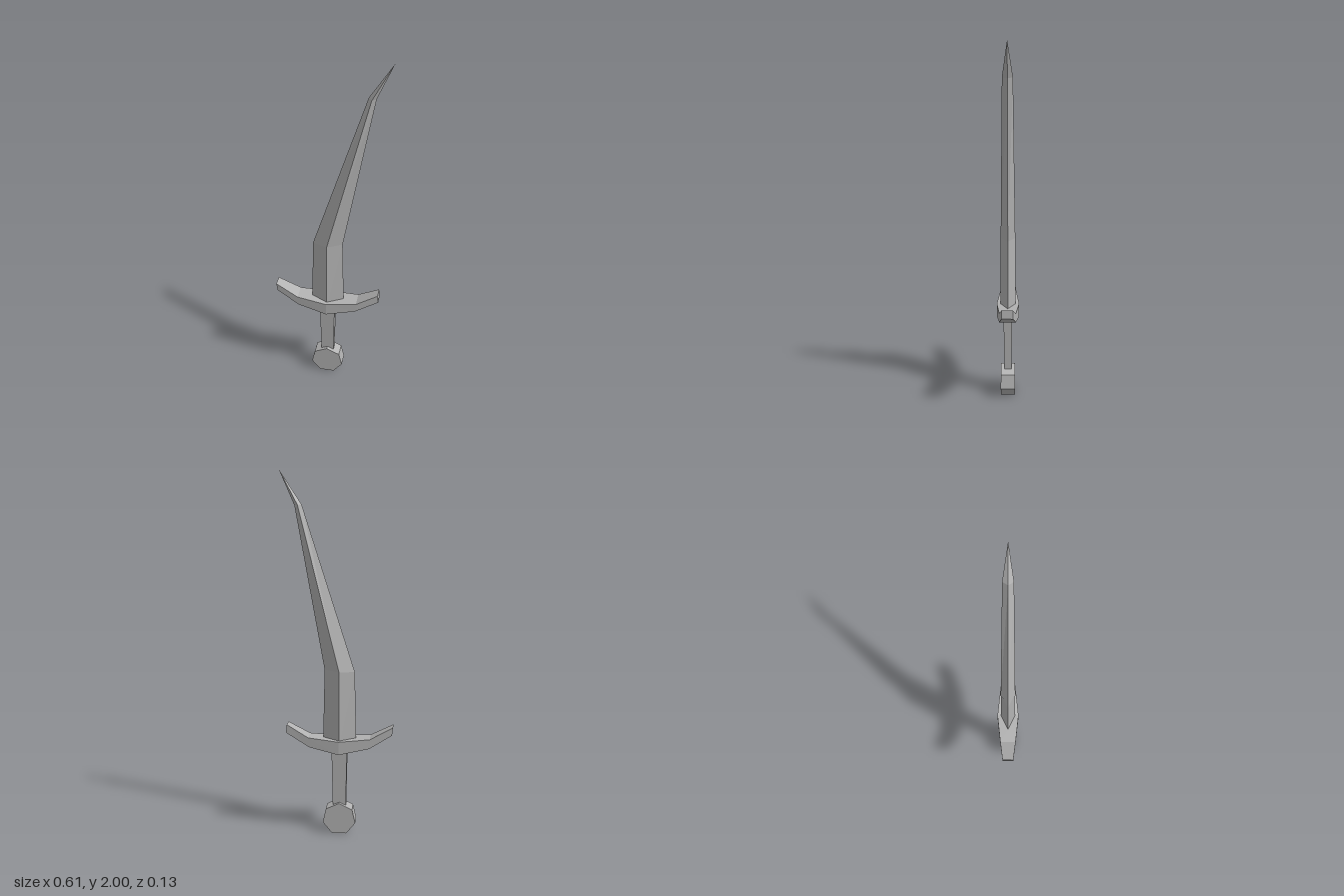
import * as THREE from 'three';

// Skin closed four-corner rings into a solid with flat end caps
function loft(rings) {
  const pos = [];
  const tri = (a, b, c) => {
    const t = new THREE.Triangle(new THREE.Vector3(...a), new THREE.Vector3(...b), new THREE.Vector3(...c));
    if (t.getArea() > 1e-8) pos.push(...a, ...b, ...c);
  };
  const quad = (a, b, c, d) => { tri(a, b, c); tri(a, c, d); };
  for (let r = 0; r < rings.length - 1; r++) {
    const lo = rings[r], hi = rings[r + 1];
    for (let i = 0; i < 4; i++) {
      const j = (i + 1) % 4;
      quad(lo[i], lo[j], hi[j], hi[i]);
    }
  }
  quad(...[...rings[0]].reverse());
  quad(...rings[rings.length - 1]);
  const geo = new THREE.BufferGeometry();
  geo.setAttribute('position', new THREE.Float32BufferAttribute(pos, 3));
  geo.computeVertexNormals();
  return geo;
}

export function createModel() {
  const group = new THREE.Group();
  const steel = new THREE.MeshStandardMaterial({ color: 0xb2b2b2, flatShading: true });
  steel.name = 'steel grey';
  const add = (name, geo) => {
    const mesh = new THREE.Mesh(geo, steel);
    mesh.name = name;
    group.add(mesh);
  };

  // Blade: diamond sections [right x, right y, left x, left y, ridge x, ridge y, half thickness]
  const blade = [
    [0.08, 0.52, -0.105, 0.52, -0.012, 0.52, 0.042],
    [0.07, 0.94, -0.095, 0.93, -0.012, 0.935, 0.04],
    [0.225, 1.815, 0.187, 1.82, 0.205, 1.818, 0.027],
    [0.305, 2, 0.305, 2, 0.305, 2, 0],
  ];
  add('blade', loft(blade.map(([rx, ry, lx, ly, mx, my, t]) =>
    [[rx, ry, 0], [mx, my, -t], [lx, ly, 0], [mx, my, t]])));

  // Crossguard: upswept bar [bottom x, bottom y, top x, top y, half depth]
  const guard = [
    [-0.302, 0.584, -0.308, 0.63, 0.031],
    [-0.177, 0.508, -0.182, 0.562, 0.045],
    [-0.012, 0.474, -0.012, 0.548, 0.063],
    [0.153, 0.508, 0.158, 0.562, 0.045],
    [0.283, 0.584, 0.278, 0.63, 0.031],
  ];
  add('crossguard', loft(guard.map(([bx, by, tx, ty, d]) =>
    [[bx, by, d], [bx, by, -d], [tx, ty, -d], [tx, ty, d]])));

  // Grip: slightly tapered rectangular bar
  const grip = [[0.13, 0.036, 0.019], [0.5, 0.043, 0.025]];
  add('grip', loft(grip.map(([y, w, d]) =>
    [[-0.012 + w, y, d], [-0.012 + w, y, -d], [-0.012 - w, y, -d], [-0.012 - w, y, d]])));

  // Pommel: seven-sided disc with a corner at the top
  const pommel = new THREE.CylinderGeometry(0.094, 0.094, 0.08, 7);
  pommel.rotateX(-Math.PI / 2).translate(-0.012, 0.085, 0);
  add('pommel', pommel);

  return group;
}
